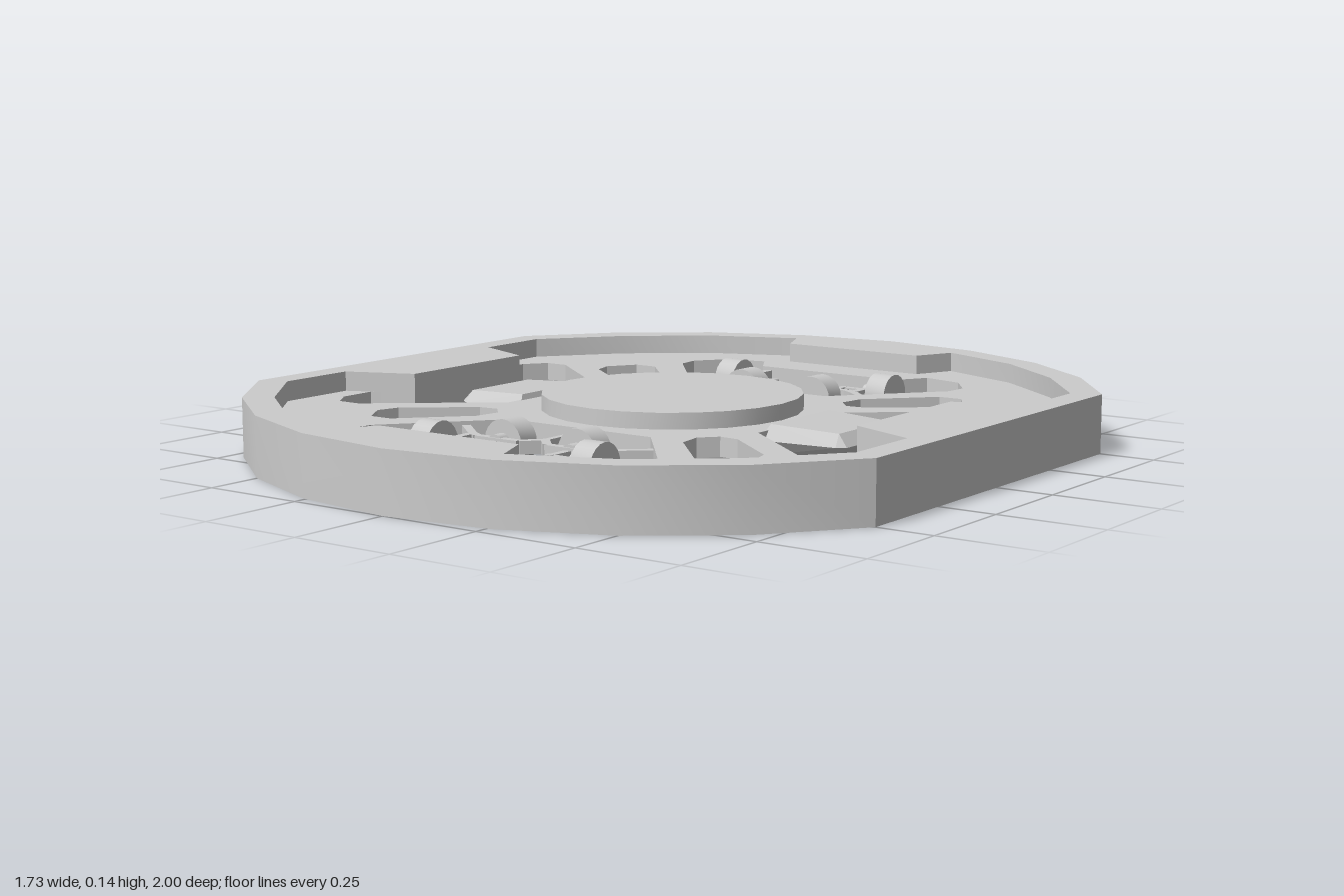
import * as THREE from 'three';
import { toCreasedNormals } from 'three/addons/utils/BufferGeometryUtils.js';
import { ConvexGeometry } from 'three/addons/geometries/ConvexGeometry.js';

const material = new THREE.MeshStandardMaterial({ color: 0xcccccc });

function add(parent, name, geometry) {
  const mesh = new THREE.Mesh(geometry, material);
  mesh.name = name;
  parent.add(mesh);
  return mesh;
}

// Mirror a quarter outline (listed from the +x axis towards the +z axis) into a closed loop
function fourWay(quarter) {
  const half = [...quarter, ...quarter.map(([x, z]) => [-x, z]).reverse()];
  return [...half, ...half.map(([x, z]) => [x, -z]).reverse()];
}

const points = (list) => list.map(([x, z]) => new THREE.Vector2(x, z));

// Flat slab with holes, lying between two heights
function slab(outline, holes, y0, y1) {
  const shape = new THREE.Shape(points(outline));
  for (const hole of holes) shape.holes.push(new THREE.Path(points(hole)));
  const geometry = new THREE.ExtrudeGeometry(shape, { depth: y1 - y0, bevelEnabled: false });
  geometry.rotateX(-Math.PI / 2).translate(0, y0, 0);
  return toCreasedNormals(geometry, 0.5);
}

// Rectangular bar between two plan positions
function bar(parent, name, [x0, z0], [x1, z1], width, height, y = 0.068) {
  const mesh = add(parent, name, new THREE.BoxGeometry(Math.hypot(x1 - x0, z1 - z0), height, width));
  mesh.position.set((x0 + x1) / 2, y, (z0 + z1) / 2);
  mesh.rotation.y = -Math.atan2(z1 - z0, x1 - x0);
}

function drum(parent, name, radius, length, axis, x, y, z) {
  const geometry = toCreasedNormals(new THREE.CylinderGeometry(radius, radius, length, 20), 0.6);
  if (axis === 'x') geometry.rotateZ(Math.PI / 2);
  if (axis === 'z') geometry.rotateX(Math.PI / 2);
  add(parent, name, geometry).position.set(x, y, z);
}

// Three nozzles at right angles on a common elbow; side is +1 or -1 in x
function nozzleCluster(side) {
  const group = new THREE.Group();
  group.name = 'nozzleCluster';
  const x = side * 0.105, z = 0.59, y = 0.068;
  drum(group, 'sideNozzle', 0.053, 0.055, 'x', side * 0.228, y, z);
  drum(group, 'innerNozzle', 0.053, 0.055, 'z', x, y, 0.468);
  drum(group, 'lowerNozzle', 0.051, 0.04, 'y', x, 0.03, z);
  drum(group, 'sideCollar', 0.022, 0.03, 'x', side * 0.187, y, z);
  drum(group, 'innerCollar', 0.022, 0.03, 'z', x, y, 0.508);
  bar(group, 'sideArm', [x, z], [side * 0.2, z], 0.018, 0.018);
  bar(group, 'innerArm', [x, z + 0.009], [x, 0.5], 0.018, 0.018);
  drum(group, 'lowerArm', 0.01, 0.04, 'y', x, 0.058, z);
  return group;
}

// Thin struts that hold the nozzles in an opening
function strutFrame() {
  const group = new THREE.Group();
  group.name = 'strutFrame';
  bar(group, 'centreStrut', [0, 0.34], [0, 0.49], 0.016, 0.03);
  for (const s of [-1, 1]) {
    const path = [[0, 0.475], [0.04, 0.518], [0.16, 0.518], [0.19, 0.5], [0.27, 0.43]];
    for (let i = 1; i < path.length; i++) {
      const [a, b] = [path[i - 1], path[i]];
      bar(group, 'strut', [s * a[0], a[1]], [s * b[0], b[1]], 0.02, 0.03);
    }
    bar(group, 'outerStrut', [s * 0.185, 0.51], [s * 0.185, 0.7], 0.02, 0.03);
  }
  return group;
}

export function createModel() {
  const model = new THREE.Group();
  model.name = 'wheelFrame';

  // Rim: faceted circle cut flat at the sides, with blocks reaching inwards
  const arc = [30, 45, 60, 75, 90].map((deg) => {
    const a = THREE.MathUtils.degToRad(deg);
    return [Math.cos(a), Math.sin(a)];
  });
  const outer = fourWay(arc.slice(0, 4));
  outer.splice(4, 0, [0, 1]);
  outer.splice(13, 0, [0, -1]);
  const inner = fourWay([[0.635, 0.2], [0.8, 0.27], [0.8, 0.47], [0.65, 0.66], [0.46, 0.81], [0.24, 0.9], [0.195, 0.8]]);
  add(model, 'rim', slab(outer, [inner], 0, 0.14));

  // Spoked plate: side, front and back openings plus four diagonal slots
  const side = [[0.36, 0.17], [0.64, 0.395], [0.7, 0.395], [0.74, 0.34], [0.74, 0.245], [0.65, 0.205]];
  const end = [[0.2, 0.355], [0.405, 0.6], [0.41, 0.66], [0.355, 0.735], [0.25, 0.76], [0.205, 0.685]];
  const slot = [[0.32, 0.26], [0.37, 0.265], [0.52, 0.385], [0.535, 0.44], [0.49, 0.51],
    [0.43, 0.51], [0.295, 0.365], [0.285, 0.3]];
  const holes = [];
  for (const s of [-1, 1]) {
    holes.push([...side, ...side.map(([x, z]) => [x, -z]).reverse()].map(([x, z]) => [s * x, z]));
    holes.push([...end, ...end.map(([x, z]) => [-x, z]).reverse()].map(([x, z]) => [x, s * z]));
    for (const t of [-1, 1]) holes.push(slot.map(([x, z]) => [s * x, t * z]));
  }
  const plateOutline = outer.map(([x, z]) => [x * 0.96, z * 0.96]);
  add(model, 'spokePlate', slab(plateOutline, holes, 0.047, 0.092));

  // Central hub disc, proud of the plate on both faces
  const hub = toCreasedNormals(new THREE.CylinderGeometry(0.31, 0.31, 0.12, 24), 0.5);
  add(model, 'hubDisc', hub).position.y = 0.07;

  for (const s of [-1, 1]) {
    // Bevelled, tapered pad beside the hub
    const corners = [];
    for (const t of [-1, 1]) {
      for (const [x, y, z] of [[0.345, 0.07, 0.147], [0.535, 0.07, 0.127], [0.555, 0.07, 0.112],
        [0.36, 0.105, 0.12], [0.53, 0.098, 0.105], [0.36, 0.035, 0.12], [0.53, 0.042, 0.105]]) {
        corners.push(new THREE.Vector3(s * x, y, t * z));
      }
    }
    add(model, 'sidePad', new ConvexGeometry(corners));

    // Nozzle assembly in the front and back openings
    const assembly = new THREE.Group();
    assembly.name = s > 0 ? 'frontNozzles' : 'backNozzles';
    assembly.add(strutFrame(), nozzleCluster(1), nozzleCluster(-1));
    assembly.rotation.y = s > 0 ? 0 : Math.PI;
    model.add(assembly);
  }
  return model;
}
